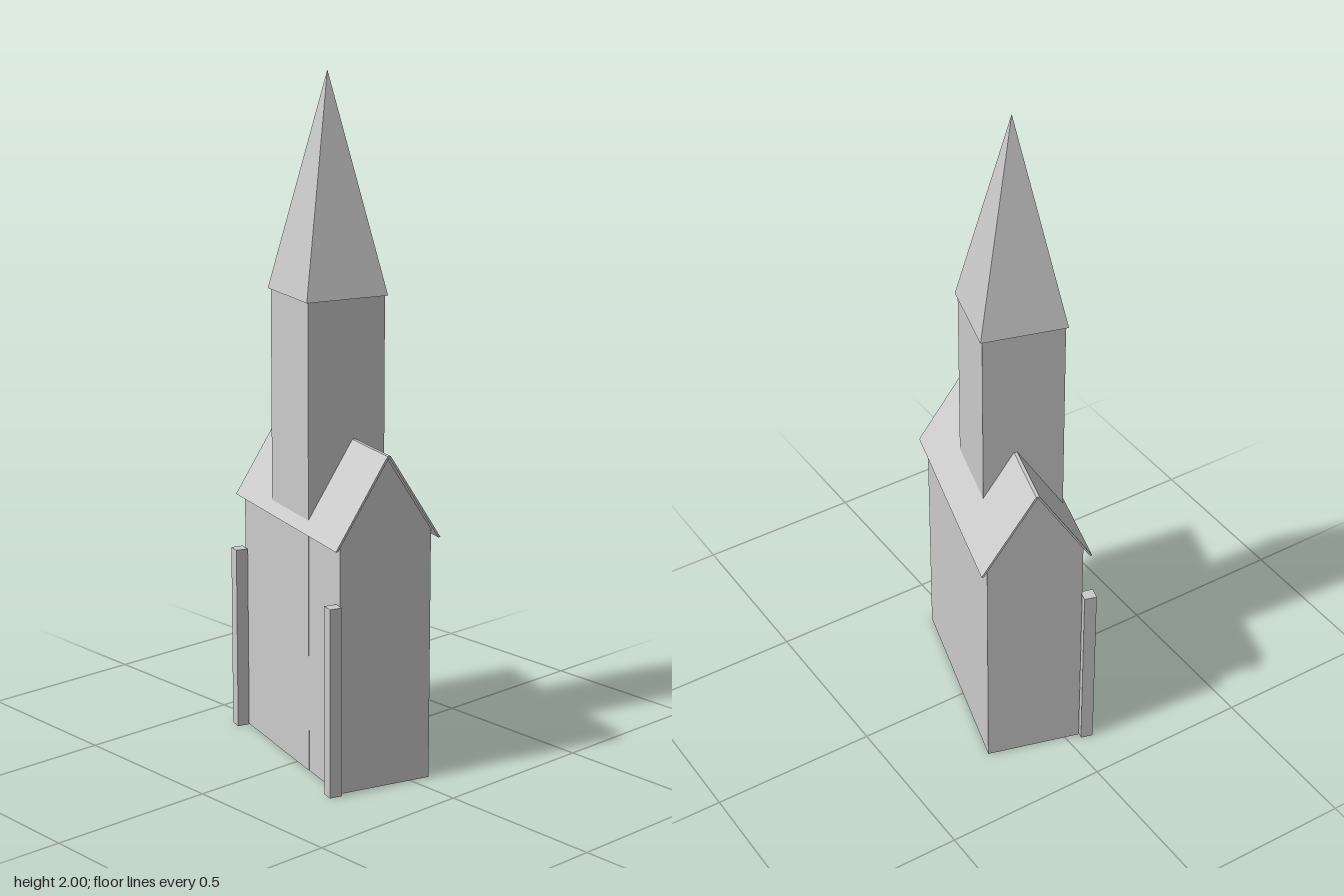
import * as THREE from 'three';

export function createModel() {
  const model = new THREE.Group();
  model.name = 'church';
  const material = new THREE.MeshStandardMaterial({
    color: 0xcccccc, flatShading: true, side: THREE.DoubleSide,
  });

  // The whole building stands turned about the vertical axis
  const body = new THREE.Group();
  body.name = 'building';
  body.position.set(0.008, 0, 0.001);
  body.rotation.y = -0.279;
  model.add(body);

  function add(name, geometry, x, y, z, parent = body) {
    const mesh = new THREE.Mesh(geometry, material);
    mesh.name = name;
    mesh.position.set(x, y, z);
    parent.add(mesh);
    return mesh;
  }
  const outline = (points) => new THREE.Shape(points.map(([x, y]) => new THREE.Vector2(x, y)));

  // Nave: two gable walls and two side walls, open underneath
  const halfW = 0.1425, halfL = 0.314, wallTop = 0.742;
  const gable = outline([[-halfW, 0], [halfW, 0], [halfW, wallTop], [0, 0.967], [-halfW, wallTop]]);
  for (const s of [1, -1]) {
    const end = add(s > 0 ? 'frontGable' : 'backGable', new THREE.ShapeGeometry(gable), 0, 0, s * halfL);
    if (s < 0) end.rotation.y = Math.PI;
    const side = add(s > 0 ? 'leftWall' : 'rightWall',
      new THREE.PlaneGeometry(2 * halfL, wallTop), s * halfW, wallTop / 2, 0);
    side.rotation.y = s * Math.PI / 2;
  }

  // Roof: thin folded sheet with a narrow flat ridge, overhanging all round
  const roofLength = 0.662;
  const roof = outline([
    [-0.164, 0.72], [-0.157, 0.72], [0, 0.969], [0.157, 0.72],
    [0.164, 0.72], [0.005, 0.973], [-0.005, 0.973],
  ]);
  add('roof', new THREE.ExtrudeGeometry(roof, { depth: roofLength, bevelEnabled: false }),
    0, 0, -roofLength / 2);

  // Tower: open square shaft from the ground, topped by a pyramid spire
  const tower = new THREE.Group();
  tower.name = 'tower';
  tower.position.set(-0.0235, 0, -0.002);
  body.add(tower);
  const shaftTop = 1.377, top = 2;
  const square = (width) => width / Math.SQRT2;
  const shaft = new THREE.CylinderGeometry(square(0.24), square(0.24), shaftTop, 4, 1, true);
  add('towerShaft', shaft.rotateY(Math.PI / 4), 0, shaftTop / 2, 0, tower);
  const spire = new THREE.ConeGeometry(square(0.253), top - shaftTop, 4);
  add('spire', spire.rotateY(Math.PI / 4), 0, (top + shaftTop) / 2, 0, tower);

  // Corner posts along the right side
  for (const s of [1, -1]) {
    add(s > 0 ? 'frontPost' : 'backPost', new THREE.BoxGeometry(0.037, 0.557, 0.036),
      -0.163, 0.557 / 2, s * 0.312);
  }
  return model;
}
